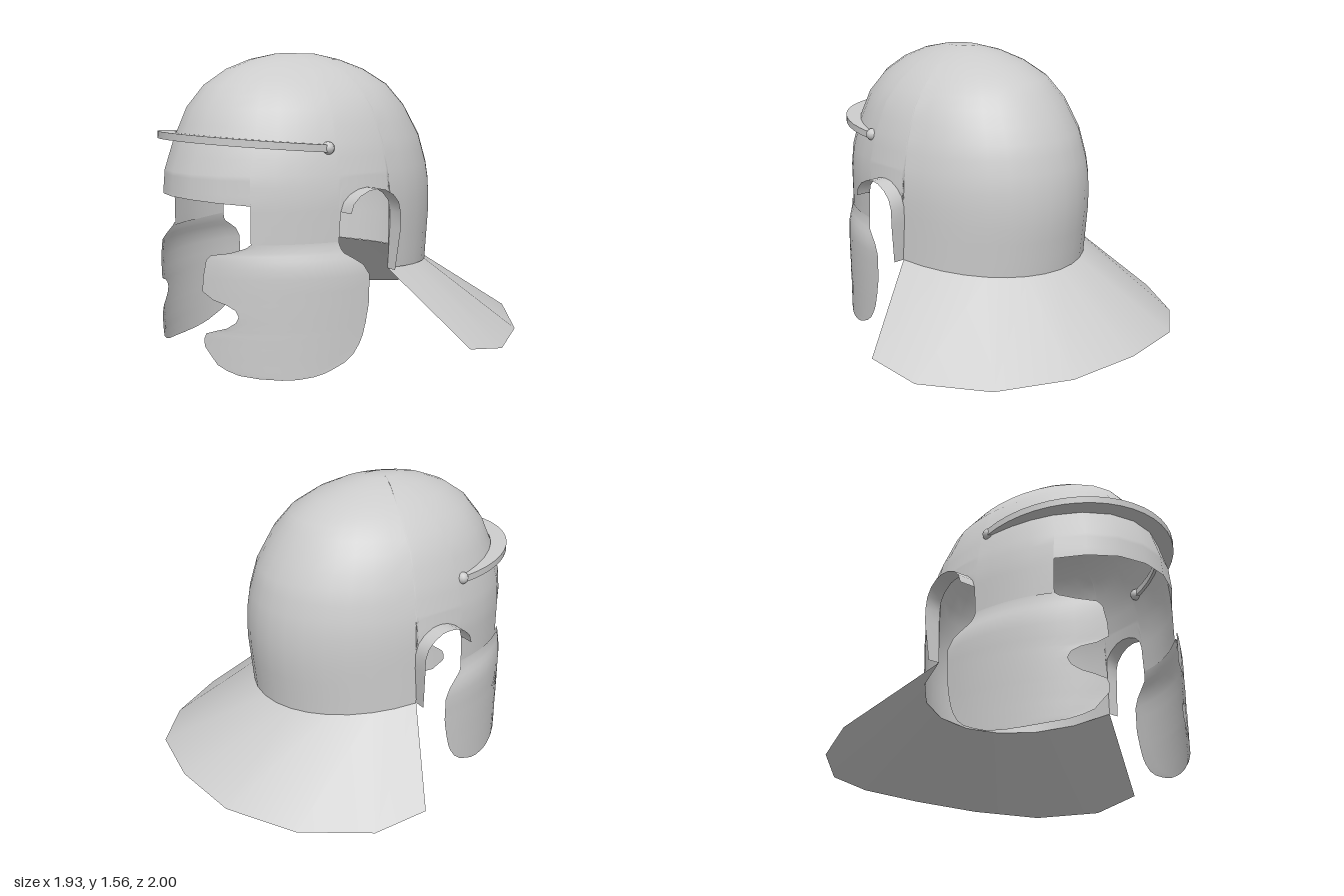
import * as THREE from 'three';
import { mergeVertices, toCreasedNormals } from 'three/addons/utils/BufferGeometryUtils.js';

const material = new THREE.MeshStandardMaterial({ color: 0xcccccc, side: THREE.DoubleSide });
const V = (x, y, z) => new THREE.Vector3(x, y, z);

// Skin over rows of points
function grid(rows) {
  const n = rows[0].length, index = [];
  for (let i = 0; i < rows.length - 1; i++) {
    for (let j = 0; j < n - 1; j++) {
      const a = i * n + j, b = a + 1, c = a + n, d = c + 1;
      index.push(a, b, d, a, d, c);
    }
  }
  let g = new THREE.BufferGeometry().setFromPoints(rows.flat());
  g.setIndex(index);
  g = mergeVertices(g, 1e-5);
  g.computeVertexNormals();
  return g;
}

// Bowl levels: height, half width, front z, back z, centre z
const LEVELS = [
  [0.44, 0.59, 0.98, -0.50, 0.2], [0.72, 0.59, 0.98, -0.53, 0.2], [0.86, 0.59, 0.98, -0.53, 0.2],
  [0.98, 0.575, 0.97, -0.51, 0.2], [1.13, 0.54, 0.92, -0.465, 0.2], [1.29, 0.475, 0.85, -0.37, 0.2],
  [1.40, 0.385, 0.76, -0.275, 0.2], [1.48, 0.28, 0.64, -0.14, 0.21], [1.53, 0.18, 0.51, 0.0, 0.23],
  [1.56, 0.07, 0.36, 0.14, 0.25], [1.561, 0, 0.25, 0.25, 0.25],
];

// Point on the bowl at angle a (0 = front, positive = left) and height y
function onBowl(a, y) {
  let i = 0;
  while (i < LEVELS.length - 2 && y > LEVELS[i + 1][0]) i++;
  const p = LEVELS[i], q = LEVELS[i + 1];
  const t = THREE.MathUtils.clamp((y - p[0]) / (q[0] - p[0]), 0, 1);
  const [, w, f, b, c] = p.map((v, k) => v + (q[k] - v) * t);
  const cos = Math.cos(a);
  return V(w * Math.sin(a), y, c + (cos > 0 ? f - c : c - b) * cos);
}

const angleAt = (z) => Math.acos(THREE.MathUtils.clamp((z - 0.2) / (z > 0.2 ? 0.78 : 0.73), -1, 1));

// Ear opening edge: z, y
const EAR = [[0.38, 0.65], [0.37, 0.8], [0.355, 0.845], [0.32, 0.88], [0.27, 0.903], [0.22, 0.91],
  [0.17, 0.903], [0.12, 0.875], [0.085, 0.835], [0.07, 0.78], [0.07, 0.7], [0.085, 0.49]];
const NECK_START = angleAt(0.08);
const NECK_STEPS = 8;
const neckAngle = (k) => NECK_START + (Math.PI - NECK_START) * k / NECK_STEPS;
const neckHeight = (a) => {
  const z = onBowl(a, 0.46).z;
  return 0.44 + 0.05 * (z + 0.5) / 0.58;
};

function bowl() {
  // Columns from front to back with the height of the lower rim
  const half = [[0.98, 0.86], [0.955, 0.858], [0.88, 0.85], [0.77, 0.84], [0.77, 0.64], [0.67, 0.64],
    [0.57, 0.64], [0.47, 0.645], [0.38, 0.65], ...EAR.slice(1, 10)].map(([z, y]) => [angleAt(z), y]);
  for (let k = 0; k <= NECK_STEPS; k++) half.push([neckAngle(k), neckHeight(neckAngle(k))]);
  const cols = [...half.slice(1).reverse().map(([a, y]) => [-a, y]), ...half];
  const rows = [];
  for (let i = 0; i < 6; i++) {
    rows.push(cols.map(([a, y]) => onBowl(a, y + (0.98 - y) * i / 6)));
  }
  for (const h of [0.98, 1.06, 1.13, 1.21, 1.29, 1.35, 1.40, 1.44, 1.48, 1.53, 1.56, 1.561]) {
    rows.push(cols.map(([a]) => onBowl(a, h)));
  }
  return grid(rows);
}

function neckGuard() {
  // Outer corners from the left side to the back centre
  const outer = [[0.965, 0.125, -0.13], [0.915, 0.07, -0.4], [0.70, 0.07, -0.72],
    [0.385, 0.105, -0.945], [0, 0.115, -1]].map((p) => V(...p));
  const inner = outer.map((_, i) => {
    const a = neckAngle(i * 2);
    return onBowl(a, neckHeight(a));
  });
  const whole = (list) => [...list, ...list.slice(0, -1).reverse().map((p) => V(-p.x, p.y, p.z))];
  return grid([whole(outer), whole(inner)]);
}

function cheekPlate(side) {
  // Scalloped outline as rows: y, front z, back z
  const outline = [[0, 0.67, 0.60], [0.008, 0.76, 0.53], [0.02, 0.83, 0.48], [0.04, 0.87, 0.43],
    [0.065, 0.90, 0.375], [0.1, 0.915, 0.33], [0.15, 0.935, 0.295], [0.19, 0.935, 0.277],
    [0.215, 0.93, 0.27], [0.235, 0.90, 0.265], [0.25, 0.87, 0.26], [0.28, 0.84, 0.255],
    [0.31, 0.83, 0.248], [0.34, 0.84, 0.243], [0.365, 0.87, 0.24], [0.385, 0.91, 0.24],
    [0.42, 0.938, 0.24], [0.49, 0.936, 0.24], [0.54, 0.93, 0.27], [0.575, 0.925, 0.32],
    [0.6, 0.91, 0.36], [0.615, 0.85, 0.37], [0.64, 0.79, 0.378], [0.655, 0.775, 0.38]];
  return grid(outline.map(([y, front, back]) => {
    const width = 0.59 + 0.045 * THREE.MathUtils.smoothstep(0.66 - y, 0, 0.16);
    const a0 = Math.acos((front - 0.2) / 0.79), a1 = Math.acos((back - 0.2) / 0.79);
    const row = [];
    for (let j = 0; j <= 10; j++) {
      const a = a0 + (a1 - a0) * j / 10;
      row.push(V(side * width * Math.sin(a), y, 0.2 + 0.79 * Math.cos(a)));
    }
    return side > 0 ? row : row.reverse();
  }));
}

function earFlange(side) {
  const path = EAR.slice(1);
  const edge = (out) => path.map(([z, y]) => {
    const p = onBowl(angleAt(z), y);
    return V(side * (p.x + out * (y < 0.6 ? 0.06 : 0.085)), y, z);
  });
  return grid(side > 0 ? [edge(0), edge(1)] : [edge(1), edge(0)]);
}

function browBand() {
  const rows = [], steps = 12;
  for (let i = -steps; i <= steps; i++) {
    const t = i / steps, a = t * 1.26, b = t * Math.PI / 2;
    const inner = V(0.53 * Math.sin(a), 0, 0.2 + 0.71 * Math.cos(a));
    const outer = V(0.54 * Math.sin(b), 0, 0.42 + 0.575 * Math.cos(b));
    const height = (p) => 1.105 + 0.05 * (p.z - 0.42) / 0.57;
    const corner = (p, d) => V(p.x, height(p) + d, p.z);
    rows.push([corner(inner, 0.018), corner(inner, -0.018), corner(outer, -0.018),
      corner(outer, 0.018), corner(inner, 0.018)]);
  }
  return toCreasedNormals(grid(rows), 0.7);
}

export function createModel() {
  const model = new THREE.Group();
  model.name = 'helmet';
  const add = (name, geometry) => {
    const mesh = new THREE.Mesh(geometry, material);
    mesh.name = name;
    model.add(mesh);
    return mesh;
  };
  add('bowl', bowl());
  add('neckGuard', neckGuard());
  add('browBand', browBand());
  for (const [side, label] of [[1, 'left'], [-1, 'right']]) {
    add(label + 'CheekPlate', cheekPlate(side));
    add(label + 'EarFlange', earFlange(side));
    add(label + 'BrowPivot', new THREE.SphereGeometry(0.032, 12, 8)).position.set(side * 0.52, 1.105, 0.405);
  }
  return model;
}
